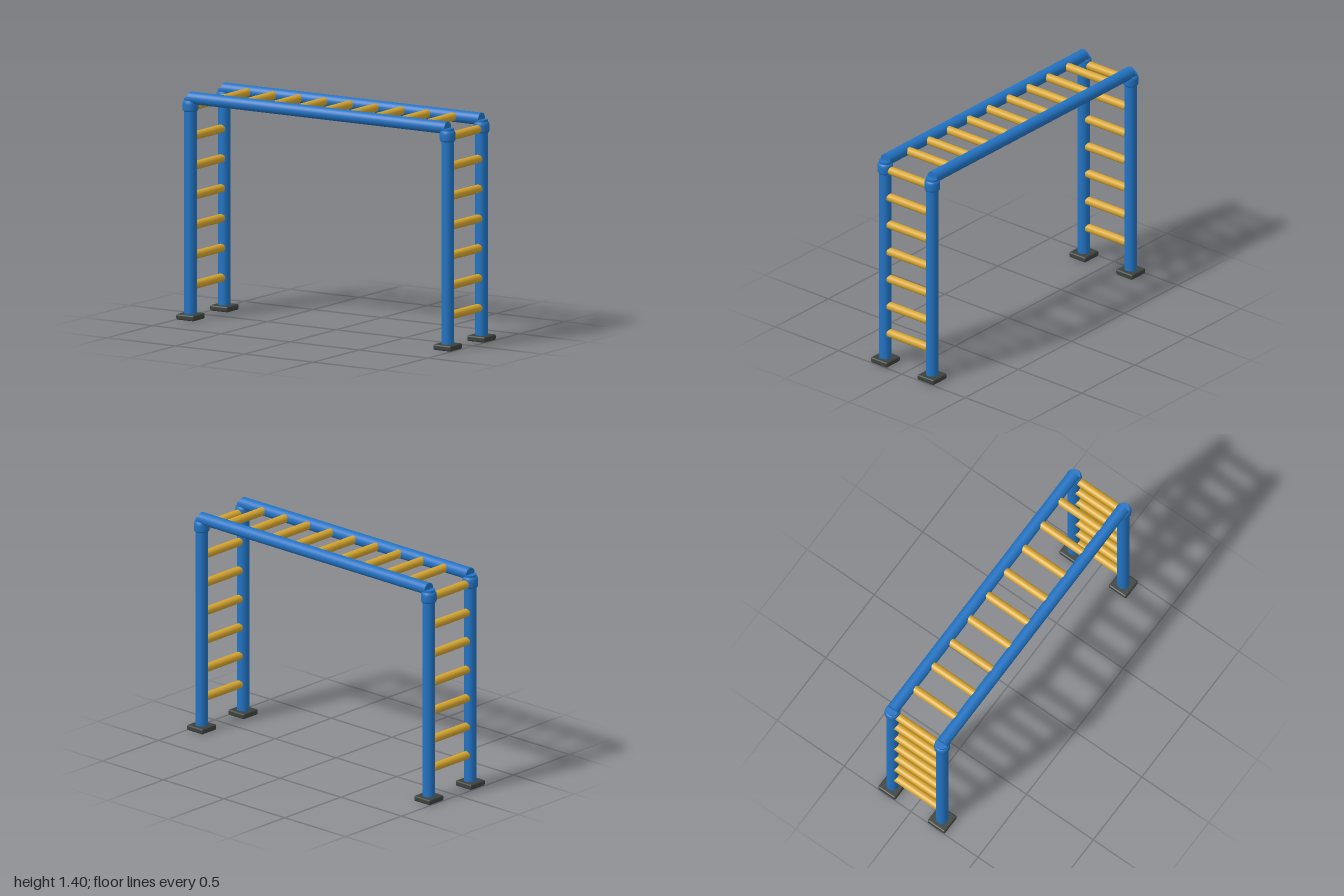
import * as THREE from 'three';
import { RoundedBoxGeometry } from 'three/addons/geometries/RoundedBoxGeometry.js';

const mat = (name, color) => {
  const m = new THREE.MeshStandardMaterial({ color });
  m.name = name;
  return m;
};

export function createModel() {
  const model = new THREE.Group();
  model.name = 'monkeyBars';
  const blue = mat('blue paint', 0x2273c3);
  const yellow = mat('yellow paint', 0xd6a52f);
  const dark = mat('dark rubber', 0x3c423d);

  const X = 0.935, Z = 0.185, R = 0.038, BEAM_Y = 1.362;

  const add = (name, geometry, material, x, y, z) => {
    const mesh = new THREE.Mesh(geometry, material);
    mesh.name = name;
    mesh.position.set(x, y, z);
    model.add(mesh);
  };

  const foot = new RoundedBoxGeometry(0.13, 0.035, 0.13, 3, 0.01);
  const post = new THREE.CylinderGeometry(R, R, 1.335, 32);
  const beam = new THREE.CylinderGeometry(R, R, 2 * X, 32).rotateZ(Math.PI / 2);
  const rung = new THREE.CylinderGeometry(0.026, 0.026, 0.31, 24).rotateX(Math.PI / 2);

  // Rounded sleeve around the head of each post
  const collar = new THREE.LatheGeometry([
    [R - 0.004, 1.28], [0.042, 1.28], [0.046, 1.285], [0.048, 1.293],
    [0.048, 1.325], [0.046, 1.337], [0.042, 1.345], [R - 0.004, 1.348],
  ].map(([r, y]) => new THREE.Vector2(r, y)), 32);

  // Four posts with feet and collars
  for (const x of [-X, X]) {
    for (const z of [-Z, Z]) {
      add('foot', foot, dark, x, 0.0175, z);
      add('post', post, blue, x, 0.025 + 1.335 / 2, z);
      add('collar', collar, blue, x, 0, z);
    }
    // Ladder rungs at each end
    for (let i = 0; i < 7; i++) add('ladderRung', rung, yellow, x, 0.205 + i * 0.1833, 0);
  }

  // Two long beams
  for (const z of [-Z, Z]) add('beam', beam, blue, 0, BEAM_Y, z);

  // Overhead rungs
  for (let i = -4; i <= 4; i++) add('overheadRung', rung, yellow, i * 0.187, BEAM_Y, 0);

  return model;
}
